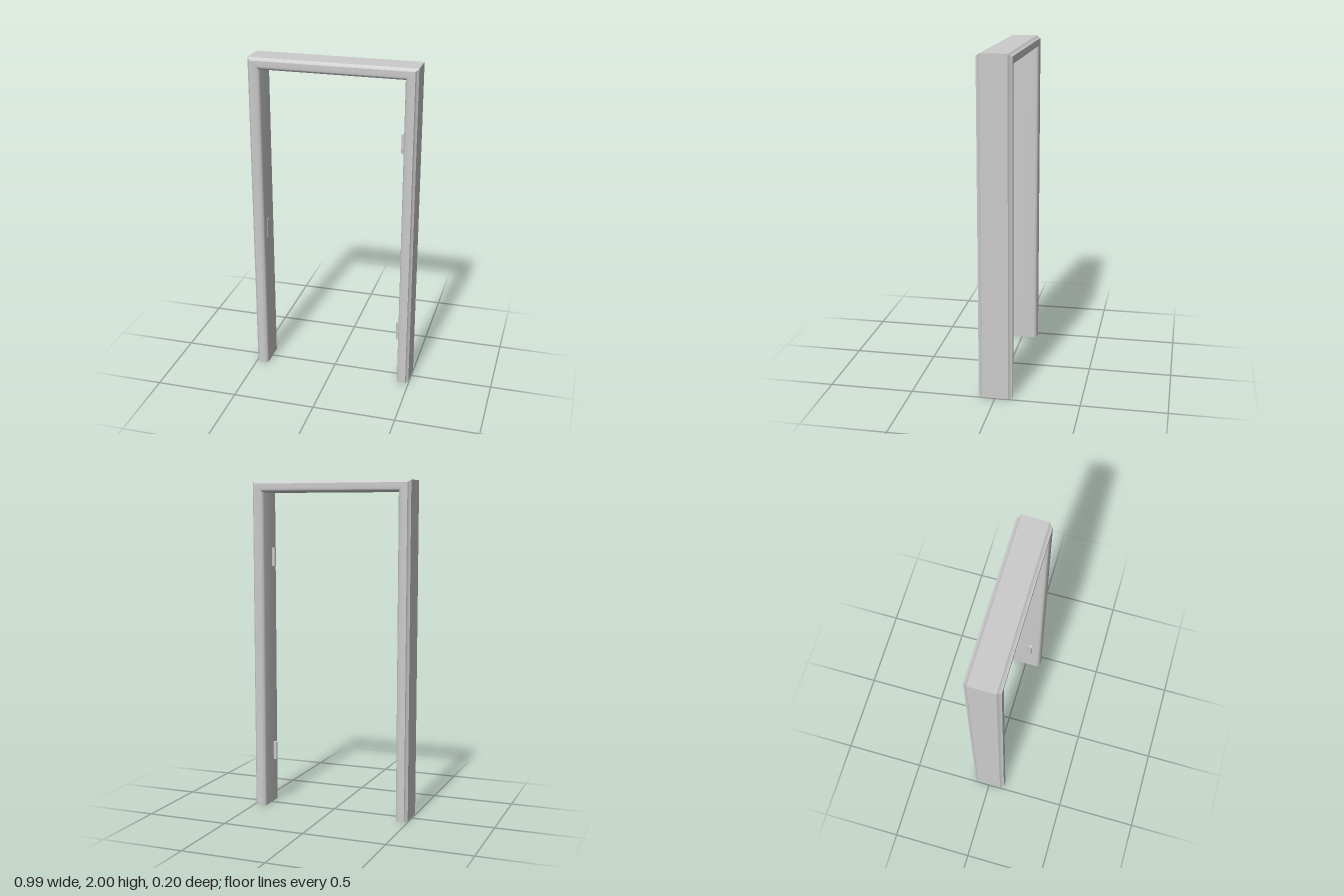
import * as THREE from 'three';
import { toCreasedNormals } from 'three/addons/utils/BufferGeometryUtils.js';

const HALF = 0.496, TOP = 2, JAMB = 0.073, HEAD = 0.067;

// Half profile: offset inward from the outer edge (0..1 of the width), depth z
const TRIM = [
  [0, 0.077], [0.12, 0.085], [0.19, 0.092], [0.22, 0.1],
  [0.6, 0.1], [0.78, 0.098], [0.9, 0.093], [0.97, 0.086], [1, 0.077],
];

// Sweeps the closed profile up one jamb, across the head and down the other, with mitred corners
function frameGeometry() {
  const profile = [...TRIM, ...TRIM.map(([o, z]) => [o, -z]).reverse()];
  const stations = [
    (o, z) => [-HALF + o * JAMB, 0, z],
    (o, z) => [-HALF + o * JAMB, TOP - o * HEAD, z],
    (o, z) => [HALF - o * JAMB, TOP - o * HEAD, z],
    (o, z) => [HALF - o * JAMB, 0, z],
  ];
  const positions = [], n = profile.length;
  for (let i = 0; i < stations.length - 1; i++) {
    for (let j = 0; j < n; j++) {
      const p = profile[j], q = profile[(j + 1) % n];
      const a = stations[i](...p), b = stations[i](...q);
      const c = stations[i + 1](...q), d = stations[i + 1](...p);
      positions.push(...a, ...b, ...c, ...a, ...c, ...d);
    }
  }
  const geometry = new THREE.BufferGeometry();
  geometry.setAttribute('position', new THREE.Float32BufferAttribute(positions, 3));
  return toCreasedNormals(geometry, THREE.MathUtils.degToRad(32));
}

export function createModel() {
  const group = new THREE.Group();
  group.name = 'doorFrame';
  const material = new THREE.MeshStandardMaterial({ color: 0xcccccc });
  const openMaterial = new THREE.MeshStandardMaterial({ color: 0xcccccc, side: THREE.DoubleSide });

  function add(name, geometry, mat, x = 0, y = 0, z = 0) {
    const mesh = new THREE.Mesh(geometry, mat);
    mesh.name = name;
    mesh.position.set(x, y, z);
    group.add(mesh);
  }

  // Hollow frame, open at the feet
  add('frame', frameGeometry(), openMaterial);

  // Hinge knuckles on the left jamb
  const knuckle = new THREE.CylinderGeometry(0.012, 0.012, 0.112, 16);
  add('lowerHinge', knuckle, material, 0.411, 0.328, 0.03);
  add('upperHinge', knuckle, material, 0.411, 1.545, 0.03);

  // Thin strike plate on the right jamb
  add('strikePlate', new THREE.BoxGeometry(0.006, 0.12, 0.035), material, -HALF + JAMB, 0.925, 0.017);

  return group;
}
